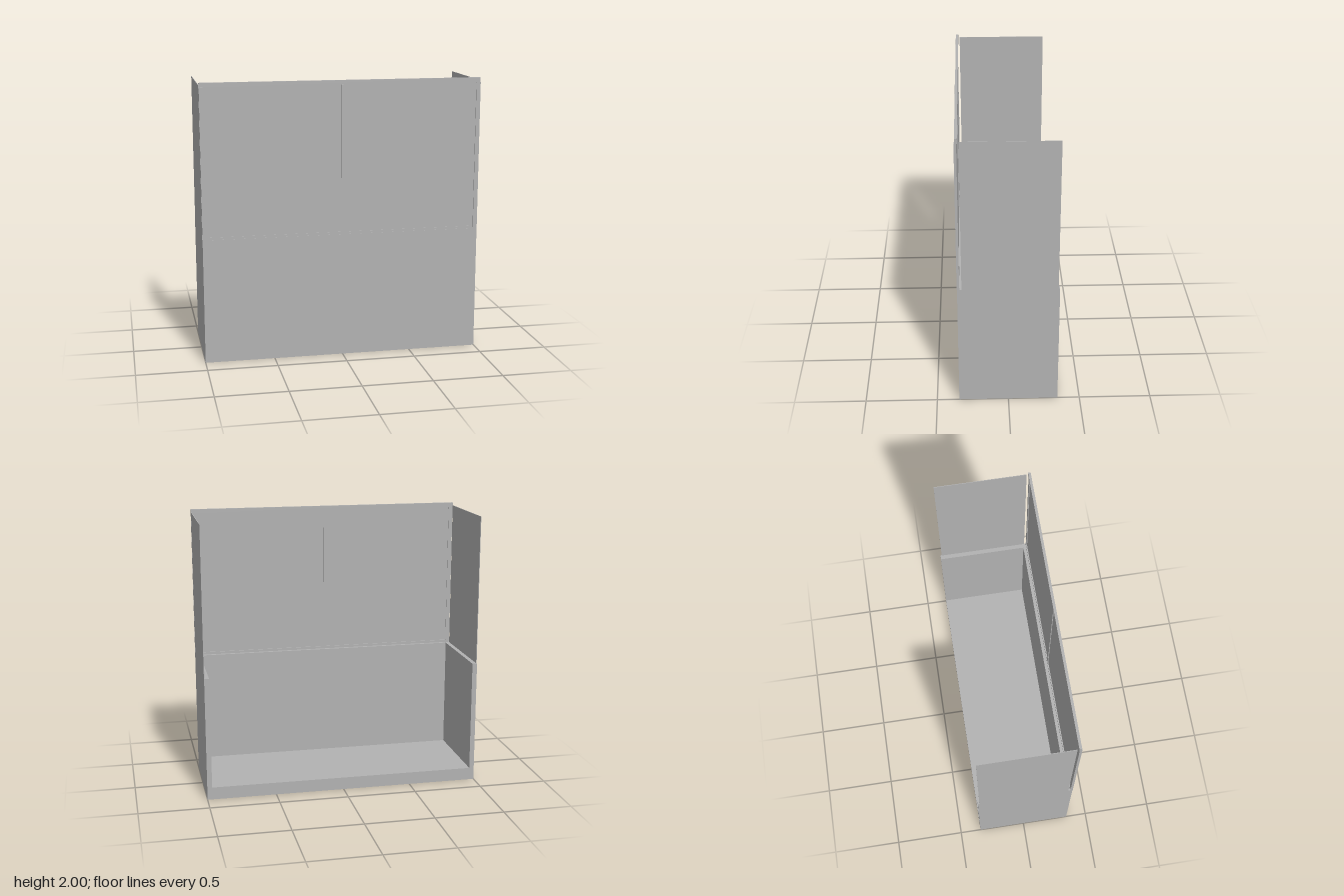
import * as THREE from 'three';

export function createModel() {
  const model = new THREE.Group();
  const grey = new THREE.MeshStandardMaterial({ color: 0xb2b2b2 });
  grey.name = 'grey';

  // Box given by its lower and upper corners
  const box = (name, x0, x1, y0, y1, z0, z1, parent = model) => {
    const mesh = new THREE.Mesh(new THREE.BoxGeometry(x1 - x0, y1 - y0, z1 - z0), grey);
    mesh.position.set((x0 + x1) / 2, (y0 + y1) / 2, (z0 + z1) / 2);
    mesh.name = name;
    parent.add(mesh);
  };

  // Counter base, open at the back and top
  const base = new THREE.Group();
  base.name = 'counterBase';
  model.add(base);
  box('floor', -1, 1, 0, 0.09, -0.345, 0.345, base);
  box('frontWall', -1, 1, 0.09, 0.9, 0.305, 0.345, base);
  box('rightWall', -1, -0.965, 0.09, 0.9, -0.345, 0.305, base);
  box('leftWall', 0.965, 1, 0.09, 0.9, -0.345, 0.305, base);

  // Front screen: rails, uprights and two recessed panes
  const screen = new THREE.Group();
  screen.name = 'frontScreen';
  model.add(screen);
  box('topRail', -1, 1, 1.968, 2, 0.325, 0.343, screen);
  box('bottomRail', -1, 1, 0.9, 0.918, 0.327, 0.343, screen);
  box('rightUpright', -1, -0.97, 0.9, 1.968, 0.33, 0.347, screen);
  box('centreUpright', -0.0125, 0.0125, 0.9, 1.968, 0.33, 0.347, screen);
  box('leftUpright', 0.97, 1, 0.9, 1.968, 0.33, 0.347, screen);
  box('rightPane', -0.97, -0.0125, 0.918, 1.968, 0.335, 0.34, screen);
  box('leftPane', 0.0125, 0.97, 0.918, 1.968, 0.335, 0.34, screen);

  // Thin side screens flush with the outer walls
  box('rightSideScreen', -1, -0.996, 0.9, 1.98, -0.335, 0.315);
  box('leftSideScreen', 0.996, 1, 0.9, 1.98, -0.335, 0.315);

  return model;
}
